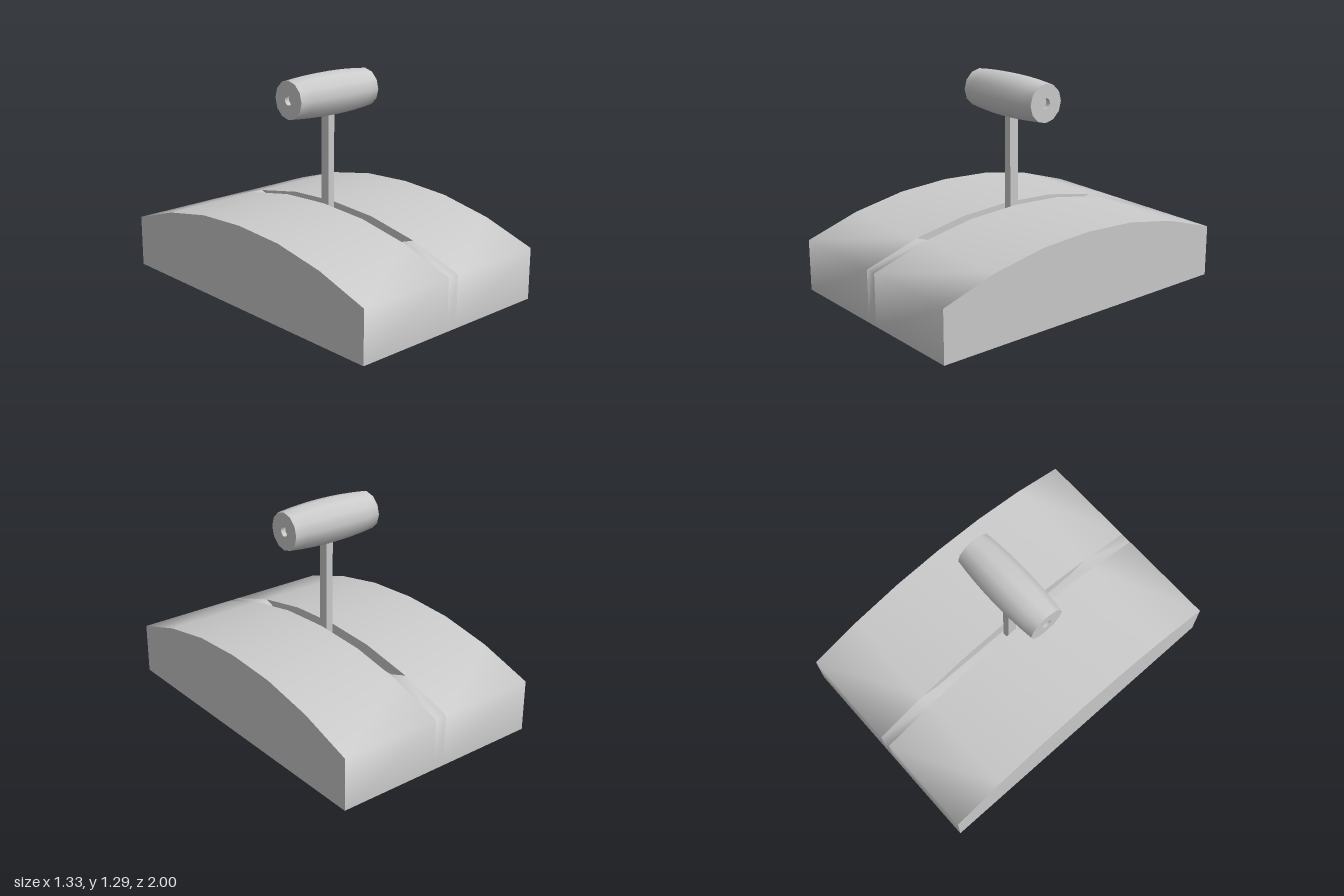
import * as THREE from 'three';
import { toCreasedNormals } from 'three/addons/utils/BufferGeometryUtils.js';

const material = new THREE.MeshStandardMaterial({ color: 0xcccccc });
const HALF_WIDTH = 0.667, SLOT = 0.036;

function part(name, geometry, crease) {
  const mesh = new THREE.Mesh(crease ? toCreasedNormals(geometry, crease) : geometry, material);
  mesh.name = name;
  return mesh;
}

// Side profile (z, y) extruded across x from x0 to x1; profiles are symmetric in z
function slab(name, profile, x0, x1) {
  const shape = new THREE.Shape(profile.map(([z, y]) => new THREE.Vector2(z, y)));
  const geometry = new THREE.ExtrudeGeometry(shape, { depth: x1 - x0, bevelEnabled: false });
  geometry.rotateY(Math.PI / 2).translate(x0, 0, 0);
  return part(name, geometry, 1.4);
}

export function createModel() {
  const model = new THREE.Group();

  // Domed base: two side blocks and a slotted middle strip
  const base = new THREE.Group();
  base.name = 'base';
  const ends = [[-1, 0], [1, 0], [1, 0.313], [0.667, 0.42]];
  const tail = [[-0.667, 0.42], [-1, 0.313]];
  const dome = [...ends, [0.333, 0.482], [0, 0.5], [-0.333, 0.482], ...tail];
  const slotted = [...ends, [0.55, 0.38], [-0.55, 0.38], ...tail];
  base.add(
    slab('baseRight', dome, -HALF_WIDTH, -SLOT),
    slab('baseLeft', dome, SLOT, HALF_WIDTH),
    slab('slotFloor', slotted, -SLOT, SLOT)
  );
  model.add(base);

  // Upright lever rising from the slot
  const lever = part('lever', new THREE.BoxGeometry(0.047, 0.72, 0.06));
  lever.position.y = 0.38 + 0.36;
  model.add(lever);

  // Barrel-shaped grip with a shallow hole in each end
  const profile = [[0, -0.27], [0.03, -0.27], [0.03, -0.3]];
  for (let i = 0; i <= 8; i++) {
    const t = i / 4 - 1;
    profile.push([0.131 - 0.018 * t * t, 0.3 * t]);
  }
  profile.push([0.03, 0.3], [0.03, 0.27], [0, 0.27]);
  const gripGeometry = new THREE.LatheGeometry(profile.map(([r, x]) => new THREE.Vector2(r, x)), 12);
  gripGeometry.rotateZ(Math.PI / 2);
  const grip = part('grip', gripGeometry, 0.7);
  grip.position.y = 1.159;
  model.add(grip);

  return model;
}
